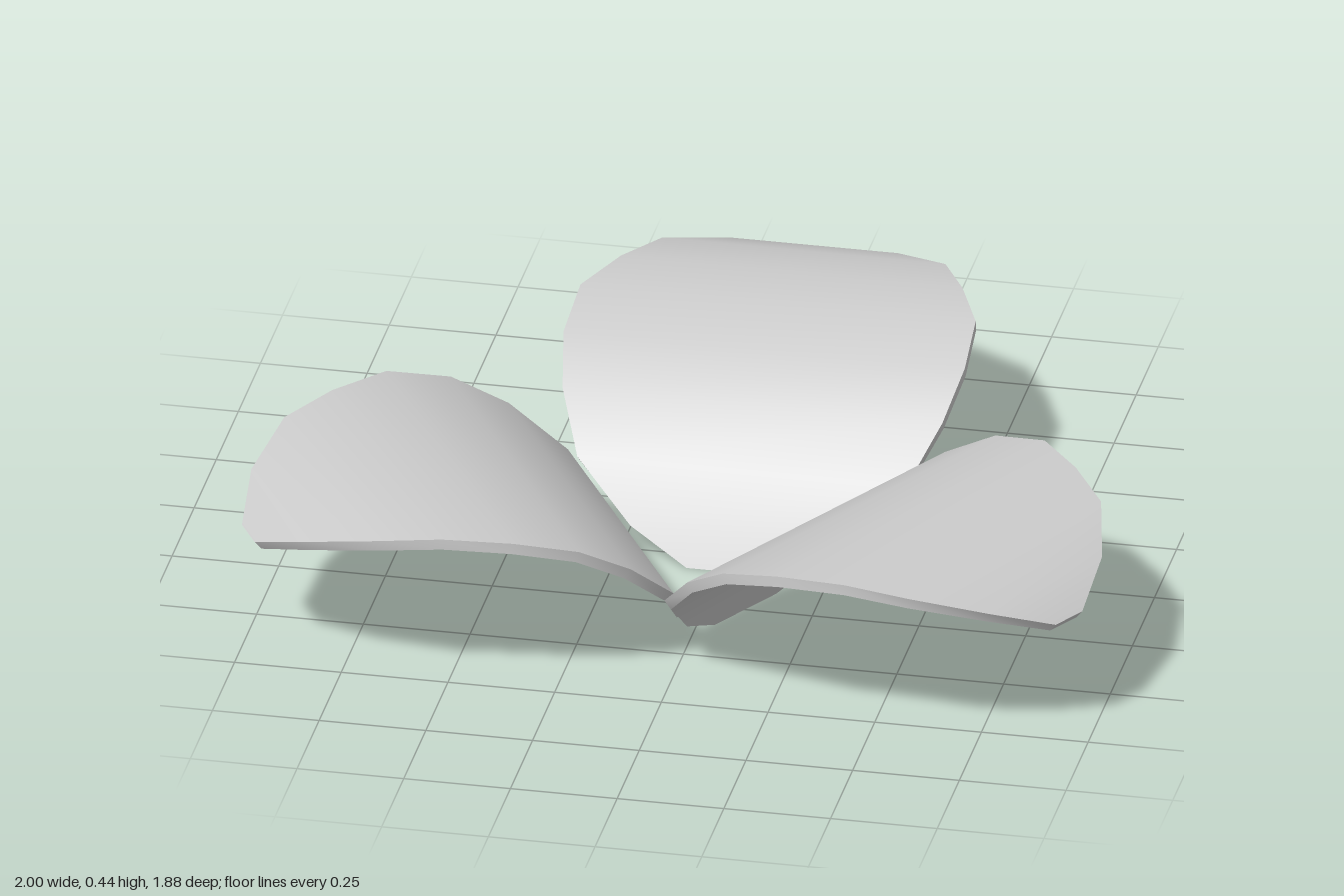
import * as THREE from 'three';
import { mergeGeometries } from 'three/addons/utils/BufferGeometryUtils.js';

const THICKNESS = 0.026;
const SIDE_SHIFT = 0.023; // petals sit slightly off their radial axis, like a pinwheel
const HUB_Z = 0.168;

// Petal cross-sections from base to tip: [distance from hub, height, half width]
const ROWS = [
  [0.098, 0, 0.105], [0.138, 0.075, 0.245], [0.215, 0.2, 0.385],
  [0.338, 0.31, 0.445], [0.47, 0.387, 0.47], [0.628, 0.43, 0.463],
  [0.78, 0.435, 0.4], [0.918, 0.42, 0.332], [1.043, 0.372, 0.195], [1.115, 0.312, 0.046],
];

// Smooth surface between two polylines of equal length
function strip(a, b) {
  const positions = [], index = [];
  a.forEach((p, i) => {
    positions.push(...p, ...b[i]);
    if (i) {
      const k = 2 * i - 2;
      index.push(k, k + 1, k + 3, k, k + 3, k + 2);
    }
  });
  const g = new THREE.BufferGeometry();
  g.setAttribute('position', new THREE.Float32BufferAttribute(positions, 3));
  g.setIndex(index);
  g.computeVertexNormals();
  return g;
}

// Curled petal pointing to -z, with a constant wall thickness
function petalGeometry() {
  const leftTop = [], rightTop = [], leftBottom = [], rightBottom = [];
  const last = ROWS.length - 1;
  ROWS.forEach(([r, y, w], i) => {
    const p = ROWS[Math.max(i - 1, 0)], n = ROWS[Math.min(i + 1, last)];
    const dr = n[0] - p[0], dy = n[1] - p[1], len = Math.hypot(dr, dy);
    const rb = r + (dy / len) * THICKNESS;
    const yb = Math.max(0, y - (dr / len) * THICKNESS);
    leftTop.push([SIDE_SHIFT - w, y, -r]);
    rightTop.push([SIDE_SHIFT + w, y, -r]);
    leftBottom.push([SIDE_SHIFT - w, yb, -rb]);
    rightBottom.push([SIDE_SHIFT + w, yb, -rb]);
  });
  return mergeGeometries([
    strip(leftTop, rightTop),
    strip(rightBottom, leftBottom),
    strip(rightTop, rightBottom),
    strip(leftBottom, leftTop),
    strip([rightTop[last], leftTop[last]], [rightBottom[last], leftBottom[last]]),
    strip([leftTop[0], rightTop[0]], [leftBottom[0], rightBottom[0]]),
  ]);
}

export function createModel() {
  const group = new THREE.Group();
  group.name = 'threePetalFlower';
  const material = new THREE.MeshStandardMaterial({ color: 0xcccccc });
  const geometry = petalGeometry();
  // Three equal petals around the hub
  ['backPetal', 'leftPetal', 'rightPetal'].forEach((name, i) => {
    const petal = new THREE.Mesh(geometry, material);
    petal.name = name;
    petal.position.z = HUB_Z;
    petal.rotation.y = (-i * 2 * Math.PI) / 3;
    group.add(petal);
  });
  return group;
}
